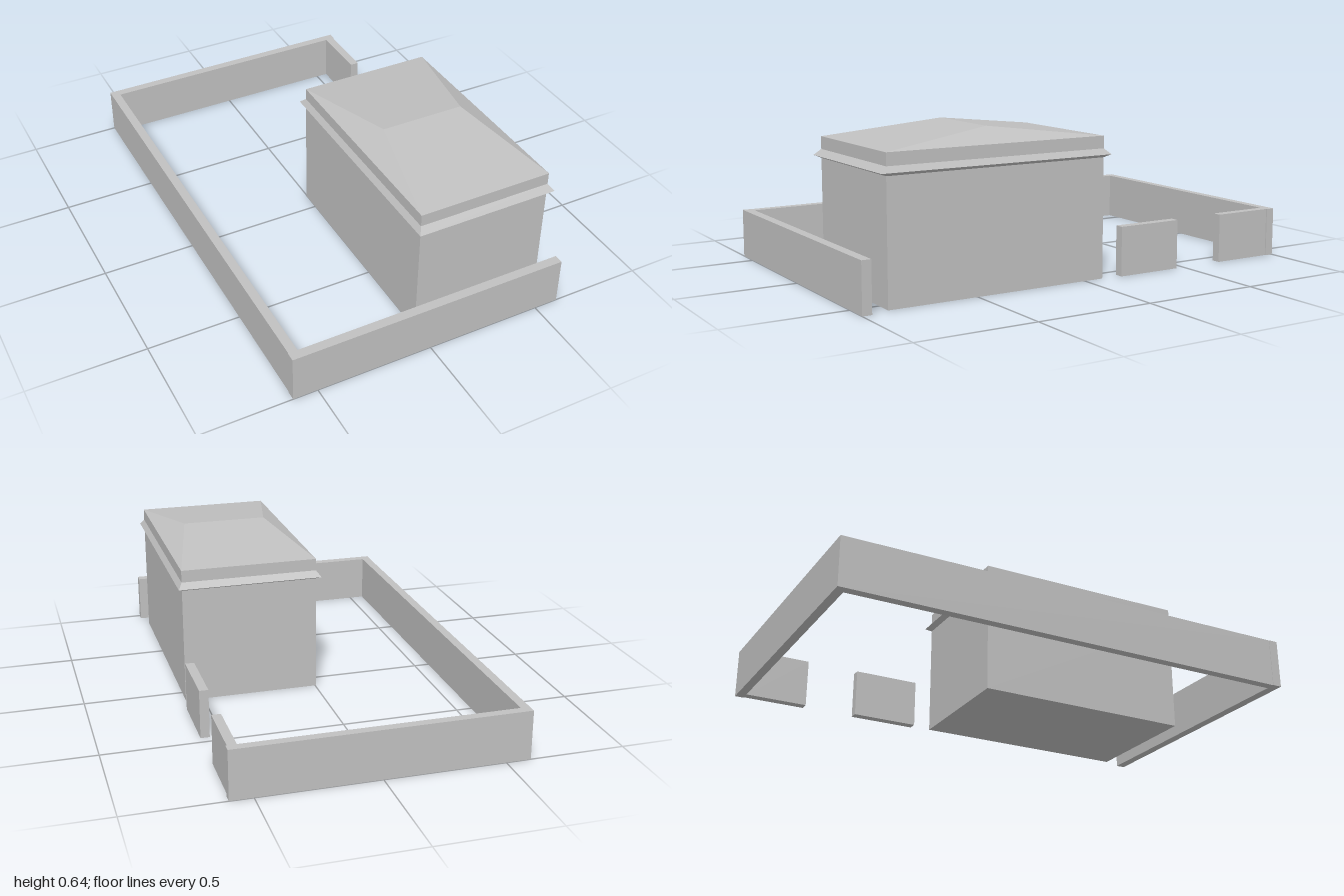
import * as THREE from 'three';

const stone = new THREE.MeshStandardMaterial({ color: 0xc0c0c0 });
stone.name = 'grey stone';

// Box given by its minimum and maximum on each axis
function block(name, x0, x1, y0, y1, z0, z1) {
  const mesh = new THREE.Mesh(new THREE.BoxGeometry(x1 - x0, y1 - y0, z1 - z0), stone);
  mesh.position.set((x0 + x1) / 2, (y0 + y1) / 2, (z0 + z1) / 2);
  mesh.name = name;
  return mesh;
}

// Stack of rectangles [y, half width, half depth] joined by flat faces, closed at both ends
function rectLoft(name, cx, cz, rings) {
  const pos = [];
  const corner = ([y, w, d], i) => {
    const k = i % 4;
    return [cx + (k === 0 || k === 3 ? -w : w), y, cz + (k < 2 ? d : -d)];
  };
  const quad = (a, b, c, d) => pos.push(...a, ...b, ...c, ...a, ...c, ...d);
  for (let r = 0; r < rings.length - 1; r++) {
    for (let i = 0; i < 4; i++) {
      quad(corner(rings[r], i), corner(rings[r], i + 1),
        corner(rings[r + 1], i + 1), corner(rings[r + 1], i));
    }
  }
  const low = rings[0], high = rings[rings.length - 1];
  quad(corner(low, 3), corner(low, 2), corner(low, 1), corner(low, 0));
  if (high[2] > 0) quad(corner(high, 0), corner(high, 1), corner(high, 2), corner(high, 3));
  const geo = new THREE.BufferGeometry();
  geo.setAttribute('position', new THREE.Float32BufferAttribute(pos, 3));
  geo.computeVertexNormals();
  const mesh = new THREE.Mesh(geo, stone);
  mesh.name = name;
  return mesh;
}

export function createModel() {
  const model = new THREE.Group();
  model.name = 'walled house';

  // House: main block, projecting cornice, parapet band and hipped roof
  const house = new THREE.Group();
  house.name = 'house';
  const cx = 0.287, cz = 0.398, w = 0.29, d = 0.484;
  house.add(
    rectLoft('houseBody', cx, cz, [
      [0, w, d],
      [0.498, w, d],
      [0.51, w + 0.017, d + 0.027],
      [0.534, w, d],
      [0.585, w, d],
    ]),
    // The ridge runs across the width
    rectLoft('hippedRoof', cx, cz, [[0.585, w, d], [0.643, 0.182, 0]]),
  );
  model.add(house);

  // Yard wall with a gateway on the left side
  const h = 0.207;
  const yard = new THREE.Group();
  yard.name = 'yardWall';
  yard.add(
    block('frontWall', -0.605, 0.605, 0, h, 0.96, 1),
    block('rightWall', -0.603, -0.565, 0, h, -1, 0.96),
    block('backWall', -0.565, 0.595, 0, h, -1, -0.963),
    block('leftWallRear', 0.552, 0.59, 0, h, -0.963, -0.695),
    block('leftWallMiddle', 0.552, 0.59, 0, h, -0.463, -0.173),
  );
  model.add(yard);
  return model;
}
